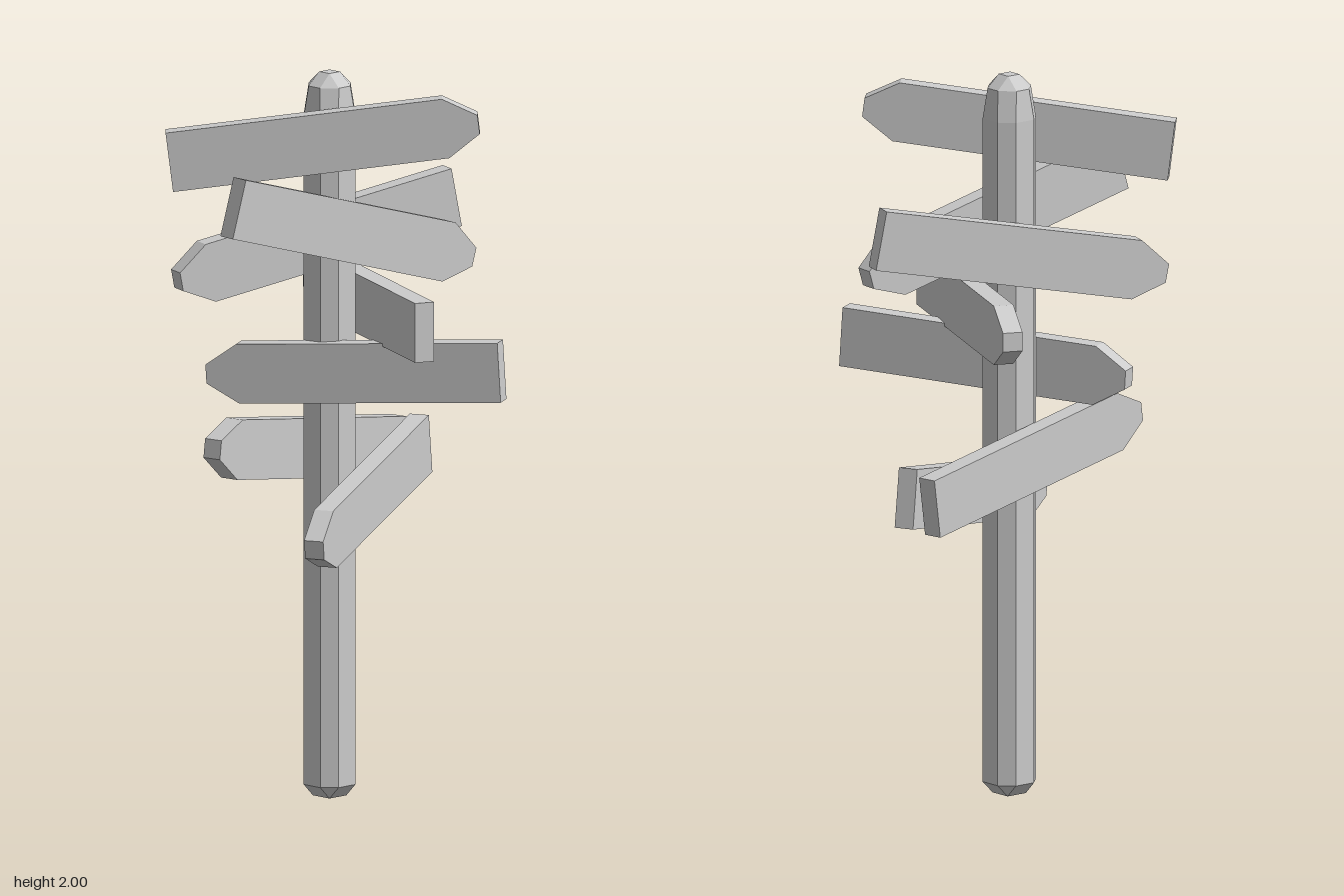
import * as THREE from 'three';

const material = new THREE.MeshStandardMaterial({ color: 0xcccccc, flatShading: true });

// Chamfered post: octagonal rings [y, half width, half width of flat] that close to squares at both ends
function postGeometry(rings) {
  const loops = rings.map(([y, h, f]) =>
    [[h, -f], [h, f], [f, h], [-f, h], [-h, f], [-h, -f], [-f, -h], [f, -h]].map(([x, z]) => [x, y, z]));
  const pos = [];
  const tri = (...pts) => pts.forEach((p) => pos.push(...p));
  const last = loops.length - 1;
  for (let j = 0; j < 8; j++) {
    const k = (j + 1) % 8;
    for (let i = 0; i < last; i++) {
      const a = loops[i][j], b = loops[i][k], c = loops[i + 1][j], d = loops[i + 1][k];
      tri(a, c, b);
      tri(b, c, d);
    }
    tri([0, rings[0][0], 0], loops[0][j], loops[0][k]);
    tri([0, rings[last][0], 0], loops[last][k], loops[last][j]);
  }
  const g = new THREE.BufferGeometry();
  g.setAttribute('position', new THREE.Float32BufferAttribute(pos, 3));
  g.computeVertexNormals();
  return g;
}

// Arrow plank running from the middle of its blunt end to the middle of its blunted tip
function makePlank(blunt, tip, { height = 0.164, thickness = 0.055, point = 0.09, nose = 0.026 } = {}) {
  const start = new THREE.Vector3(...blunt);
  const u = new THREE.Vector3(...tip).sub(start);
  const length = u.length();
  u.normalize();
  const w = new THREE.Vector3().crossVectors(u, new THREE.Vector3(0, 1, 0)).normalize();
  const v = new THREE.Vector3().crossVectors(w, u);

  const h = height / 2;
  const outline = [[0, -h], [length - point, -h], [length, -nose], [length, nose], [length - point, h], [0, h]];
  const shape = new THREE.Shape(outline.map(([x, y]) => new THREE.Vector2(x, y)));
  const g = new THREE.ExtrudeGeometry(shape, { depth: thickness, bevelEnabled: false });
  g.translate(0, 0, -thickness / 2);
  g.applyMatrix4(new THREE.Matrix4().makeBasis(u, v, w).setPosition(start));
  return new THREE.Mesh(g, material);
}

export function createModel() {
  const model = new THREE.Group();
  model.name = 'signpost';

  // Post, slightly narrowed near the top
  const post = new THREE.Mesh(postGeometry([
    [0, 0.032, 0.032],
    [0.035, 0.067, 0.032],
    [1.88, 0.067, 0.032],
    [1.965, 0.058, 0.022],
    [2, 0.02, 0.02],
  ]), material);
  post.position.set(-0.007, 0, -0.08);
  post.name = 'post';
  model.add(post);

  // Arrow planks from top to bottom: [blunt end, tip]
  const planks = [
    [[-0.39, 1.775, -0.31], [0.205, 1.88, 0.28]],
    [[-0.43, 1.69, -0.023], [0.37, 1.46, 0.072]],
    [[0.43, 1.6, -0.05], [-0.36, 1.44, -0.31]],
    [[-0.08, 1.352, 0.36], [0.253, 1.352, -0.41]],
    [[0.175, 1.215, 0.4], [-0.225, 1.165, -0.325]],
    [[0.41, 0.885, -0.247], [-0.42, 1.01, -0.113]],
    [[0.43, 0.9, -0.17], [-0.327, 0.76, 0.185]],
  ];
  planks.forEach(([blunt, tip], i) => {
    const plank = makePlank(blunt, tip);
    plank.name = `arrowPlank${i + 1}`;
    model.add(plank);
  });

  return model;
}
